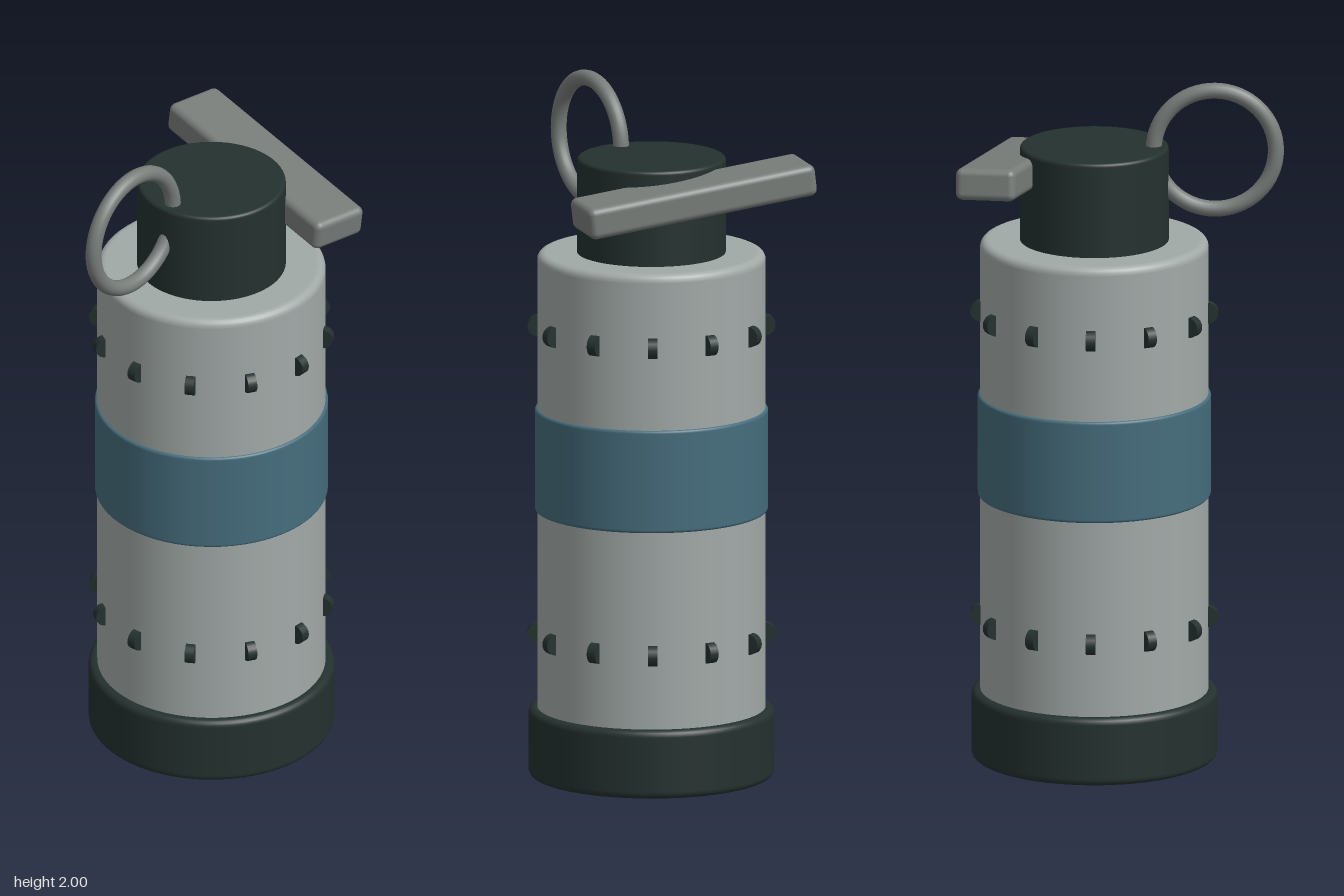
import * as THREE from 'three';
import { RoundedBoxGeometry } from 'three/addons/geometries/RoundedBoxGeometry.js';

const AXIS_X = 0.077; // the canister sits off centre, balancing ring and lever

function material(name, color) {
  const m = new THREE.MeshStandardMaterial({ color });
  m.name = name;
  return m;
}

// Closed upright drum with rounded rims
function drum(radius, y0, y1, bevel) {
  const pts = [new THREE.Vector2(0, y0), new THREE.Vector2(radius - bevel - 0.003, y0)];
  const arc = (cy, start) => {
    for (let i = 0; i <= 5; i++) {
      const a = start + (i / 5) * Math.PI / 2;
      pts.push(new THREE.Vector2(radius - bevel + bevel * Math.cos(a), cy + bevel * Math.sin(a)));
    }
  };
  arc(y0 + bevel, -Math.PI / 2);
  // support points keep the wall shading straight
  pts.push(new THREE.Vector2(radius, y0 + bevel + 0.003), new THREE.Vector2(radius, y1 - bevel - 0.003));
  arc(y1 - bevel, 0);
  pts.push(new THREE.Vector2(radius - bevel - 0.003, y1), new THREE.Vector2(0, y1));
  return new THREE.LatheGeometry(pts, 64);
}

export function createModel() {
  const group = new THREE.Group();
  const grey = material('light grey body', 0xa1a9a7);
  const dark = material('dark green black', 0x24312f);
  const blue = material('steel blue', 0x456c7c);
  const metal = material('dull metal', 0x787d7a);

  const add = (name, geometry, mat, x = 0, y = 0, z = 0, parent = group) => {
    const mesh = new THREE.Mesh(geometry, mat);
    mesh.name = name;
    mesh.position.set(x, y, z);
    parent.add(mesh);
    return mesh;
  };

  // Stacked round parts
  add('body', drum(0.327, 0.1, 1.535, 0.022), grey, AXIS_X);
  add('base', drum(0.352, 0.005, 0.205, 0.018), dark, AXIS_X);
  add('band', drum(0.334, 0.78, 1.08, 0.008), blue, AXIS_X);
  add('cap', drum(0.213, 1.52, 1.813, 0.01), dark, AXIS_X);

  // Two rows of twelve half-sunk disc studs
  const studGeometry = new THREE.CylinderGeometry(0.03, 0.03, 0.027, 20).rotateZ(Math.PI / 2);
  for (const [name, y] of [['lowerStuds', 0.42], ['upperStuds', 1.32]]) {
    const row = new THREE.Group();
    row.name = name;
    row.position.set(AXIS_X, y, 0);
    group.add(row);
    for (let i = 0; i < 12; i++) {
      const a = (i / 12) * Math.PI * 2;
      const stud = add('stud', studGeometry, dark, Math.sin(a) * 0.325, 0, Math.cos(a) * 0.325, row);
      stud.rotation.y = a;
    }
  }

  // Pull ring, threaded into the cap
  add('pullRing', new THREE.TorusGeometry(0.175, 0.023, 16, 64), metal, -0.268, 1.802, 0);

  // Slanted lever beside the cap
  const lever = add('lever', new RoundedBoxGeometry(0.175, 0.092, 0.695, 4, 0.02), metal, 0.315, 1.739, 0);
  lever.rotation.set(0.125, -0.19, 0);

  return group;
}
